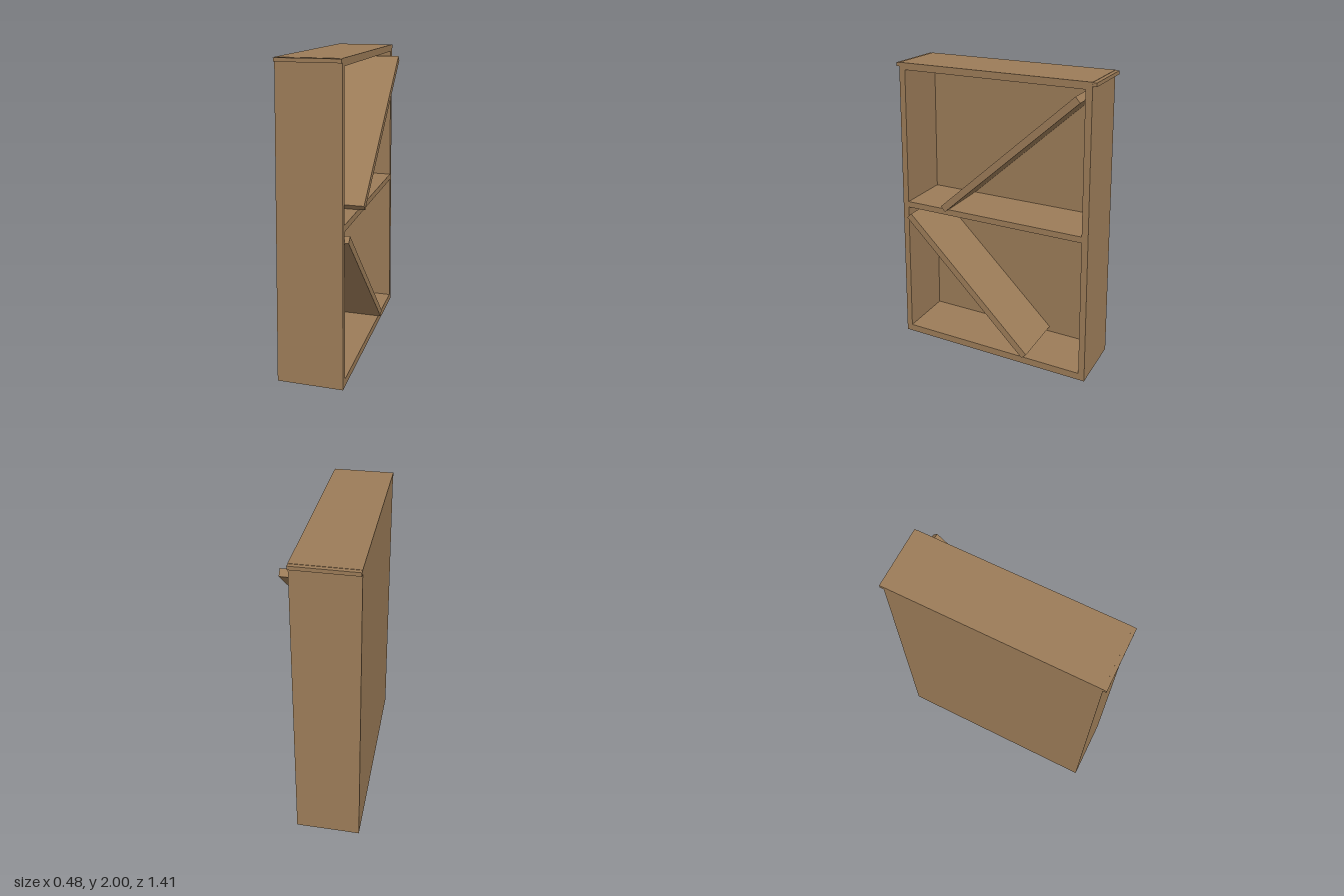
import * as THREE from 'three';

export function createModel() {
  const group = new THREE.Group();
  const wood = new THREE.MeshStandardMaterial({ color: 0x9c7c58 });
  wood.name = 'wood';
  const lerp = THREE.MathUtils.lerp;

  // A box whose unit coordinates (u, v, w in 0..1) are mapped by a rule
  function board(name, rule) {
    const geo = new THREE.BoxGeometry(1, 1, 1);
    const p = geo.attributes.position;
    for (let i = 0; i < p.count; i++) {
      p.setXYZ(i, ...rule(p.getX(i) + 0.5, p.getY(i) + 0.5, p.getZ(i) + 0.5));
    }
    geo.computeVertexNormals();
    const mesh = new THREE.Mesh(geo, wood);
    mesh.name = name;
    group.add(mesh);
  }

  // Tapered outline of the case at height y (open side faces +x)
  const T = 0.042;
  const openX = (y) => 0.187 - 0.008 * y;
  const backX = (y) => -0.24 + 0.008 * y;
  const outerZ = (y) => 0.707 - 0.0265 * y;
  const innerZ = (y) => outerZ(y) - T;

  // Side walls
  for (const [name, s] of [['leftWall', 1], ['rightWall', -1]]) {
    board(name, (u, v, w) => {
      const y = lerp(0, 2, v);
      const z = s > 0 ? lerp(innerZ(y), outerZ(y), w) : lerp(-outerZ(y), -innerZ(y), w);
      return [lerp(backX(y), openX(y), u), y, z];
    });
  }

  // Back panel between the walls
  board('backPanel', (u, v, w) => {
    const y = lerp(0, 2, v);
    return [backX(y) + u * 0.04, y, lerp(-innerZ(y), innerZ(y), w)];
  });

  // Bottom, middle shelf and top
  for (const [name, y0, y1] of [['bottomBoard', 0, 0.05], ['middleShelf', 1.005, 1.046], ['topBoard', 1.955, 2]]) {
    board(name, (u, v, w) => {
      const y = lerp(y0, y1, v);
      return [lerp(backX(y) + 0.04, openX(y), u), y, lerp(-innerZ(y), innerZ(y), w)];
    });
  }

  // Small overhanging lips at both ends of the top
  for (const [name, z0, z1] of [['leftLip', 0.65, 0.675], ['rightLip', -0.68, -0.65]]) {
    board(name, (u, v, w) => [
      lerp(-0.224, 0.171, u), lerp(1.975, 1.998, v), lerp(z0, z1, w),
    ]);
  }

  // Fallen shelf: a and b are end points { z, y, x: [back, front] }, a at the lower z
  function plank(name, a, b, thick) {
    const dz = b.z - a.z, dy = b.y - a.y, len = Math.hypot(dz, dy);
    board(name, (u, v, w) => {
      const t = (v - 0.5) * thick;
      return [
        lerp(lerp(a.x[0], b.x[0], w), lerp(a.x[1], b.x[1], w), u),
        lerp(a.y, b.y, w) + (t * dz) / len,
        lerp(a.z, b.z, w) - (t * dy) / len,
      ];
    });
  }
  plank('upperFallenShelf',
    { z: -0.595, y: 1.907, x: [-0.175, 0.236] },
    { z: 0.333, y: 1.063, x: [-0.187, 0.222] }, 0.046);
  plank('lowerFallenShelf',
    { z: -0.27, y: 0.072, x: [-0.2, 0.207] },
    { z: 0.622, y: 0.952, x: [-0.2, 0.203] }, 0.048);

  return group;
}
